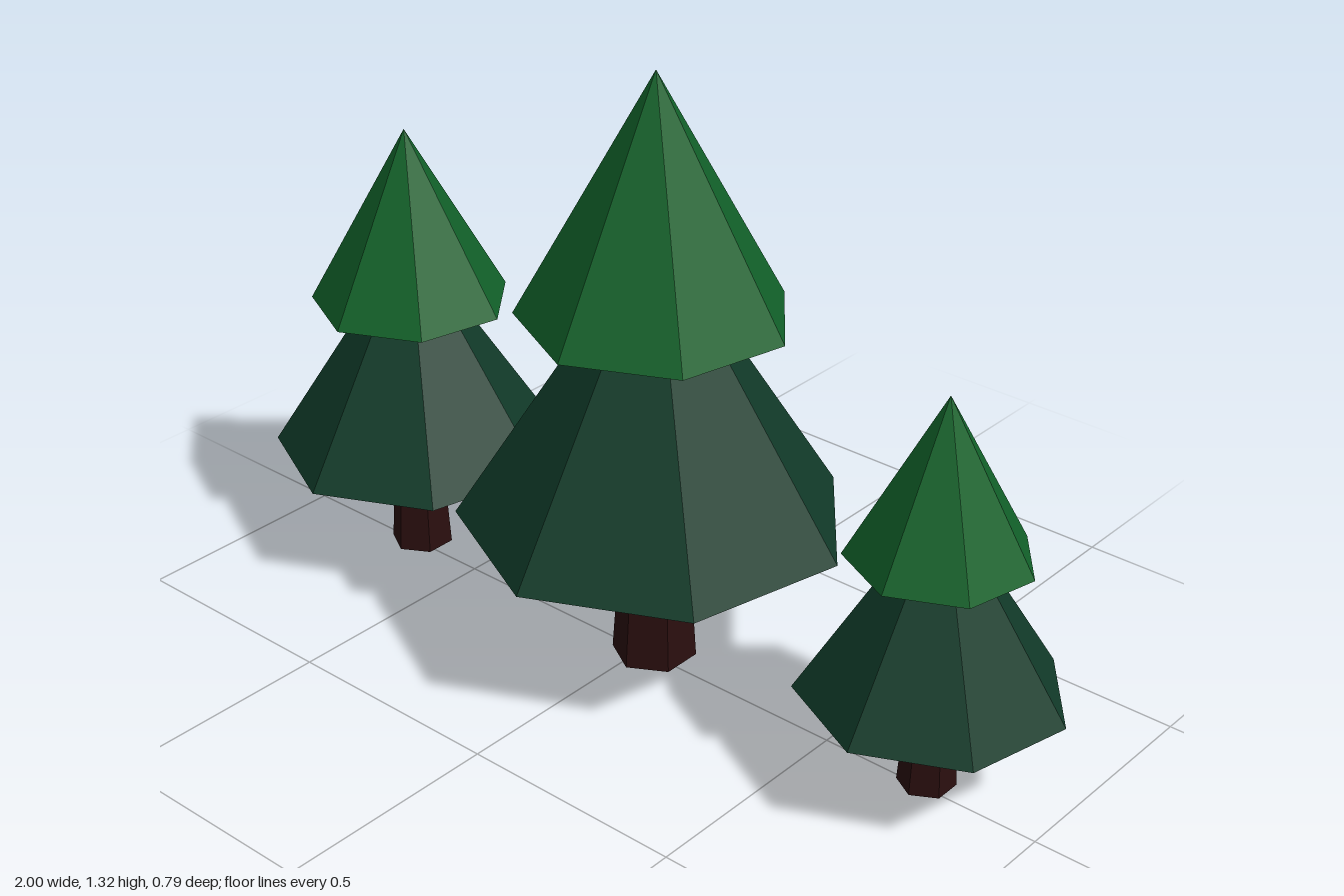
import * as THREE from 'three';

const material = (name, color) => {
  const m = new THREE.MeshStandardMaterial({ color, flatShading: true });
  m.name = name;
  return m;
};

export function createModel() {
  const bark = material('dark bark', 0x2a0f0f);
  const pine = material('deep pine green', 0x113b29);
  const leaf = material('bright leaf green', 0x12622a);

  const group = new THREE.Group();
  group.name = 'pineTrees';

  const part = (tree, name, geometry, mat, y) => {
    const mesh = new THREE.Mesh(geometry, mat);
    mesh.name = name;
    mesh.position.y = y;
    tree.add(mesh);
  };

  // One tree at full size: tapered six-sided trunk and two seven-sided cones
  const addTree = (name, x, scale) => {
    const tree = new THREE.Group();
    tree.name = name;
    part(tree, 'trunk', new THREE.CylinderGeometry(0.065, 0.091, 0.39, 6), bark, 0.195);
    part(tree, 'lowerBranches', new THREE.ConeGeometry(0.417, 0.66, 7), pine, 0.332 + 0.33);
    part(tree, 'upperBranches', new THREE.ConeGeometry(0.287, 0.521, 7), leaf, 0.796 + 0.2605);
    tree.position.set(x, 0, -0.02);
    tree.scale.setScalar(scale);
    group.add(tree);
  };

  addTree('tallTree', 0.02, 1);
  addTree('mediumTree', -0.688, 0.767);
  addTree('smallTree', 0.732, 0.655);

  return group;
}
